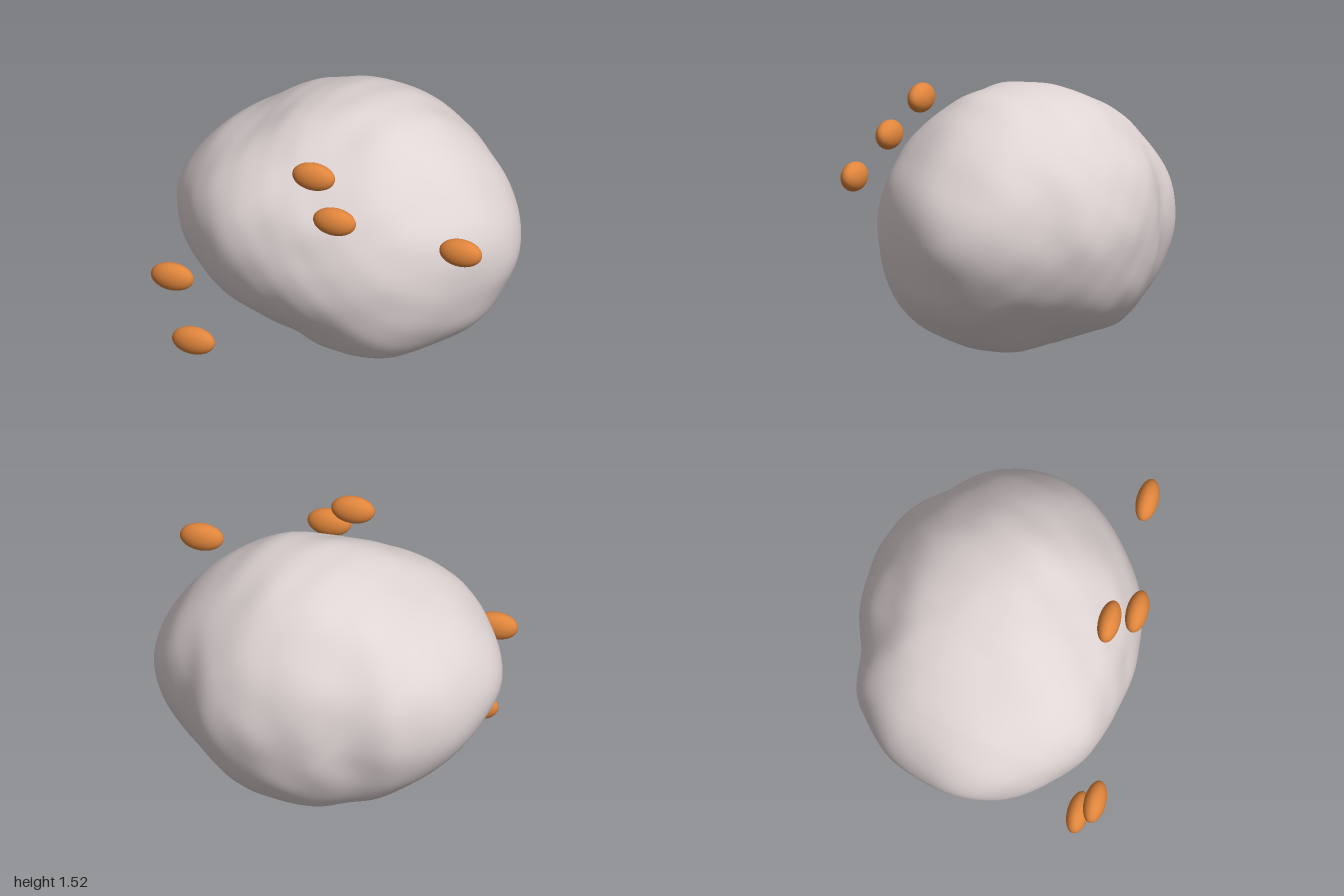
import * as THREE from 'three';
import { mergeVertices } from 'three/addons/utils/BufferGeometryUtils.js';

const CENTRE_Y = 0.75;
const AXES = new THREE.Vector3(0.99, 0.76, 0.79);

// Section outlines through the boulder, as pairs
const FRONT = [ // x, y
  -1, .77, -.95, .94, -.79, 1.14, -.59, 1.27, -.29, 1.44, -.07, 1.5, .115, 1.52, .32, 1.49,
  .54, 1.37, .76, 1.18, .89, .99, .96, .82, .98, .67, .93, .49, .81, .27, .62, .13,
  .41, .04, .14, 0, -.15, .03, -.37, .075, -.61, .235, -.77, .37, -.93, .59];
const SIDE = [ // z, y
  -.035, 1.52, -.21, 1.5, -.47, 1.39, -.63, 1.23, -.75, 1.05, -.8, .85, -.805, .65, -.735, .37,
  -.59, .187, -.365, .1, -.15, .026, 0, .005, .2, .05, .44, .14, .59, .3, .72, .5,
  .78, .7, .74, .89, .68, 1.065, .55, 1.23, .37, 1.38, .16, 1.49];
const PLAN = [ // x, z
  .11, -.82, .32, -.79, .54, -.695, .71, -.51, .91, -.28, .975, -.05, .94, .16, .79, .4,
  .56, .615, .27, .74, -.02, .775, -.29, .73, -.56, .64, -.8, .44, -.96, .19, -1, 0,
  -.95, -.21, -.83, -.465, -.665, -.625, -.53, -.705, -.29, -.73, -.08, -.8];

// Broad bulges and hollows: direction, height, spread
const SWELLS = [
  [-0.62, 0.32, 0.62, 0.055, 0.08],
  [0.42, -0.59, 0.67, 0.055, 0.08],
  [-0.36, -0.72, 0.6, -0.05, 0.06],
  [0.72, -0.6, -0.35, -0.045, 0.06],
].map(([x, y, z, height, spread]) => ({ dir: new THREE.Vector3(x, y, z).normalize(), height, spread }));

// Smooth closed outline -> function giving its radius, relative to an ellipse, at (u, v)
function outline(pairs, offsetV, a, b) {
  const pts = [];
  for (let i = 0; i < pairs.length; i += 2) {
    pts.push(new THREE.Vector3(pairs[i], pairs[i + 1] - offsetV, 0));
  }
  const polar = new THREE.CatmullRomCurve3(pts, true).getPoints(300).slice(0, -1)
    .map((p) => [Math.atan2(p.y, p.x), Math.hypot(p.x / a, p.y / b)])
    .sort((p, q) => p[0] - q[0]);
  const first = polar[0], last = polar[polar.length - 1];
  polar.unshift([last[0] - 2 * Math.PI, last[1]]);
  polar.push([first[0] + 2 * Math.PI, first[1]]);
  return (u, v) => {
    const angle = Math.atan2(v, u);
    const i = Math.max(1, polar.findIndex((p) => p[0] >= angle));
    const [a0, r0] = polar[i - 1], [a1, r1] = polar[i];
    return r0 + (r1 - r0) * (angle - a0) / (a1 - a0 || 1);
  };
}

// Surface relief: broad swells plus gentle lumps
function relief(d) {
  let h = 0.004 * Math.sin(7 * d.x + 3 * d.y + 1) * Math.sin(8 * d.y - 4 * d.z + 2)
    + 0.004 * Math.sin(9 * d.z + 5 * d.x) * Math.sin(10 * d.x - 6 * d.y + 0.5)
    + 0.0015 * Math.sin(17 * d.x + 9 * d.z) * Math.sin(19 * d.y + 6 * d.x + 1.3);
  for (const s of SWELLS) h += s.height * Math.exp((d.dot(s.dir) - 1) / s.spread);
  return h;
}

function boulderGeometry() {
  const front = outline(FRONT, CENTRE_Y, AXES.x, AXES.y);
  const side = outline(SIDE, CENTRE_Y, AXES.z, AXES.y);
  const plan = outline(PLAN, 0, AXES.x, AXES.z);
  let geo = new THREE.IcosahedronGeometry(1, 28);
  geo.deleteAttribute('uv');
  geo.deleteAttribute('normal');
  geo = mergeVertices(geo, 1e-5);
  const pos = geo.attributes.position;
  const d = new THREE.Vector3();
  const weight = (p, q) => p * p * q * q + 0.02 * (p * p + q * q) ** 2;
  for (let i = 0; i < pos.count; i++) {
    d.fromBufferAttribute(pos, i).normalize();
    // Ellipsoid radius, scaled by a blend of the three outlines
    const base = 1 / Math.hypot(d.x / AXES.x, d.y / AXES.y, d.z / AXES.z);
    const wf = weight(d.x, d.y), ws = weight(d.z, d.y), wp = weight(d.x, d.z);
    const scale = (wf * front(d.x, d.y) + ws * side(d.z, d.y) + wp * plan(d.x, d.z)) / (wf + ws + wp);
    d.multiplyScalar(base * scale + relief(d));
    pos.setXYZ(i, d.x, Math.max(d.y + CENTRE_Y, 0), d.z);
  }
  geo.computeVertexNormals();
  return geo;
}

export function createModel() {
  const group = new THREE.Group();
  group.name = 'boulderWithPods';
  const rock = new THREE.MeshStandardMaterial({ color: 0xe0d5d5 });
  rock.name = 'warm grey rock';
  const orange = new THREE.MeshStandardMaterial({ color: 0xe0853c });
  orange.name = 'orange';

  const boulder = new THREE.Mesh(boulderGeometry(), rock);
  boulder.name = 'boulder';
  group.add(boulder);

  // Floating oval pods in front of the boulder
  const podGeo = new THREE.SphereGeometry(1, 32, 20);
  podGeo.scale(0.126, 0.084, 0.063);
  const spots = [
    [-0.005, 1.385, 0.63], [0.16, 1.19, 0.75], [0.87, 1.055, 0.63],
    [-0.805, 0.63, 0.75], [-0.72, 0.15, 0.63]];
  spots.forEach((p, i) => {
    const pod = new THREE.Mesh(podGeo, orange);
    pod.name = `pod${i + 1}`;
    pod.position.set(...p);
    group.add(pod);
  });
  return group;
}
